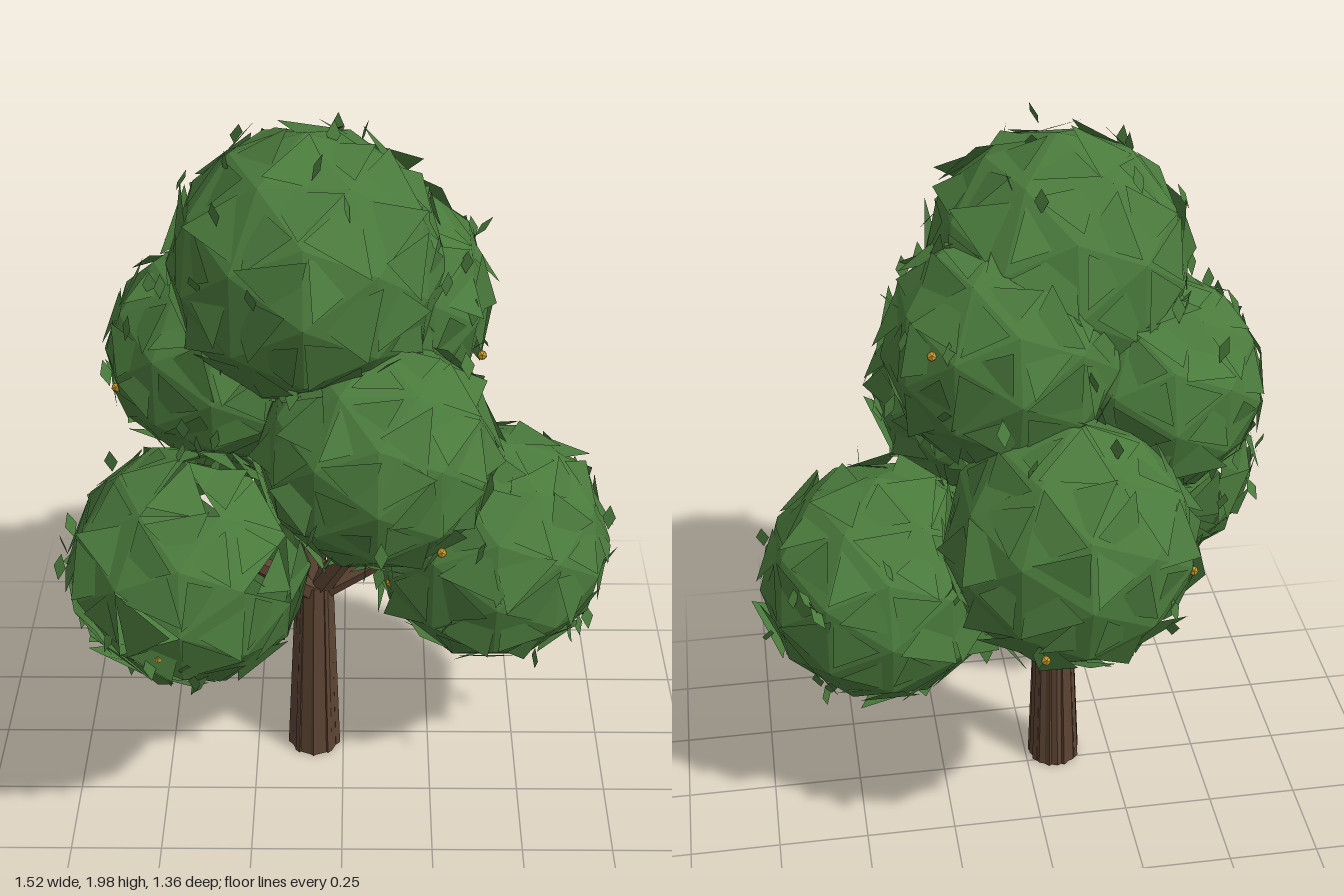
import * as THREE from 'three';
import { mergeGeometries } from 'three/addons/utils/BufferGeometryUtils.js';

const makeMaterial = (name, color) =>
  new THREE.MeshStandardMaterial({ name, color, flatShading: true, side: THREE.DoubleSide });

// Small seeded random generator
function seeded(seed) {
  return () => {
    seed = (seed * 1664525 + 1013904223) % 4294967296;
    return seed / 4294967296;
  };
}

// x, y, z, radius, share of open gaps in the leafy ball
const CLUMPS = [
  ['crownTop', -0.09, 1.61, 0.1, 0.355, 0],
  ['crownUpperRight', 0.07, 1.45, -0.05, 0.32, 0],
  ['crownFront', 0.09, 1.17, 0.28, 0.31, 0],
  ['crownLowerLeft', -0.4, 0.85, 0.33, 0.32, 0.25],
  ['crownLowerRight', 0.41, 0.71, 0.01, 0.335, 0],
  ['crownBack', -0.06, 1.02, -0.32, 0.335, 0],
  ['crownUpperLeft', -0.33, 1.3, -0.02, 0.3, 0],
];

const FRUITS = [
  [-0.46, 0.76, 0.61], [0.7, 0.65, 0.05], [-0.26, 1.5, 0.37],
  [-0.59, 1.25, 0.1], [0.25, 1.03, 0.53], [0.36, 1.35, 0.1],
  [0.28, 1.56, -0.27], [0.05, 0.86, -0.61], [0.13, 0.67, 0.16], [-0.35, 1.0, -0.48],
];

// Faceted ball, optionally with random faces left out
function ballGeometry(radius, gaps, rand) {
  const source = new THREE.IcosahedronGeometry(radius, 1).getAttribute('position');
  const points = [];
  for (let i = 0; i < source.count; i += 3) {
    if (rand() < gaps) continue;
    for (let k = 0; k < 3; k++) points.push(new THREE.Vector3().fromBufferAttribute(source, i + k));
  }
  const geometry = new THREE.BufferGeometry().setFromPoints(points);
  geometry.computeVertexNormals();
  return geometry;
}

// Loose triangles, one per ball face, each tilted about its own centre
function tiltedFaces(radius, rand) {
  const source = new THREE.IcosahedronGeometry(radius, 1).getAttribute('position');
  const points = [];
  for (let i = 0; i < source.count; i += 3) {
    const corners = [0, 1, 2].map(k => new THREE.Vector3().fromBufferAttribute(source, i + k));
    const centre = new THREE.Vector3();
    corners.forEach(c => centre.addScaledVector(c, 1 / 3));
    const tilt = new THREE.Euler((rand() - 0.5) * 0.6, (rand() - 0.5) * 0.6, (rand() - 0.5) * 0.6);
    const size = 0.65 + rand() * 0.3;
    corners.forEach(c => points.push(c.sub(centre).multiplyScalar(size).applyEuler(tilt).add(centre)));
  }
  const geometry = new THREE.BufferGeometry().setFromPoints(points);
  geometry.computeVertexNormals();
  return geometry;
}

// Diamond-shaped leaves scattered over a ball
function leafGeometry(radius, count, rand) {
  const leaves = [];
  for (let i = 0; i < count; i++) {
    const shape = new THREE.Shape([
      new THREE.Vector2(0, -0.036), new THREE.Vector2(0.018, 0),
      new THREE.Vector2(0, 0.036), new THREE.Vector2(-0.018, 0),
    ]);
    const leaf = new THREE.ShapeGeometry(shape);
    leaf.rotateX((rand() - 0.5) * 1.6).rotateY(rand() * Math.PI * 2);
    const height = rand() * 2 - 1;
    const angle = rand() * Math.PI * 2;
    const ring = Math.sqrt(1 - height * height);
    const r = radius * (0.98 + rand() * 0.1);
    leaf.translate(Math.cos(angle) * ring * r, height * r, Math.sin(angle) * ring * r);
    leaves.push(leaf);
  }
  return mergeGeometries(leaves);
}

// Tapered limb between two points
function limb(name, from, to, r0, r1, sides, material) {
  const direction = to.clone().sub(from);
  const mesh = new THREE.Mesh(new THREE.CylinderGeometry(r1, r0, direction.length(), sides), material);
  mesh.position.copy(from).addScaledVector(direction, 0.5);
  mesh.quaternion.setFromUnitVectors(new THREE.Vector3(0, 1, 0), direction.normalize());
  mesh.name = name;
  return mesh;
}

export function createModel() {
  const tree = new THREE.Group();
  tree.name = 'tree';
  const bark = makeMaterial('bark brown', 0x5c4433);
  const foliage = makeMaterial('leaf green', 0x4a7a3c);
  const gold = makeMaterial('fruit gold', 0xc49a2c);
  const rand = seeded(11);

  // Trunk with thin bark ridges
  const base = new THREE.Vector3(-0.085, 0.005, 0.037);
  const fork = new THREE.Vector3(-0.08, 0.59, 0.037);
  tree.add(limb('trunk', base, fork, 0.073, 0.053, 8, bark));
  for (let i = 0; i < 9; i++) {
    const angle = (i / 9) * Math.PI * 2 + 0.2;
    const edge = (centre, r) => centre.clone().add(new THREE.Vector3(Math.cos(angle) * r, 0, Math.sin(angle) * r));
    tree.add(limb('barkRidge', edge(base, 0.065), edge(fork, 0.046), 0.012, 0.008, 4, bark));
  }

  // Branches reaching into the foliage
  const branchStart = fork.clone().setY(0.55);
  [[0.09, 0.88, 0.16], [-0.28, 0.82, 0.24], [0.25, 0.74, 0.02], [-0.07, 0.86, -0.16], [-0.2, 1.15, 0.02]]
    .forEach(p => tree.add(limb('branch', branchStart, new THREE.Vector3(...p), 0.036, 0.022, 6, bark)));

  // Foliage clumps
  for (const [name, x, y, z, radius, gaps] of CLUMPS) {
    const clump = new THREE.Group();
    clump.name = name;
    clump.position.set(x, y, z);
    const parts = {
      foliageBall: ballGeometry(radius, gaps, rand),
      foliageFacets: tiltedFaces(radius * 1.02, rand),
      leaves: leafGeometry(radius, 26, rand),
    };
    for (const [part, geometry] of Object.entries(parts)) {
      const mesh = new THREE.Mesh(geometry, foliage);
      mesh.name = part;
      clump.add(mesh);
    }
    tree.add(clump);
  }

  // Tiny fruits
  const fruitGeometry = new THREE.IcosahedronGeometry(0.014, 0);
  for (const p of FRUITS) {
    const fruit = new THREE.Mesh(fruitGeometry, gold);
    fruit.position.set(...p);
    fruit.name = 'fruit';
    tree.add(fruit);
  }
  return tree;
}
